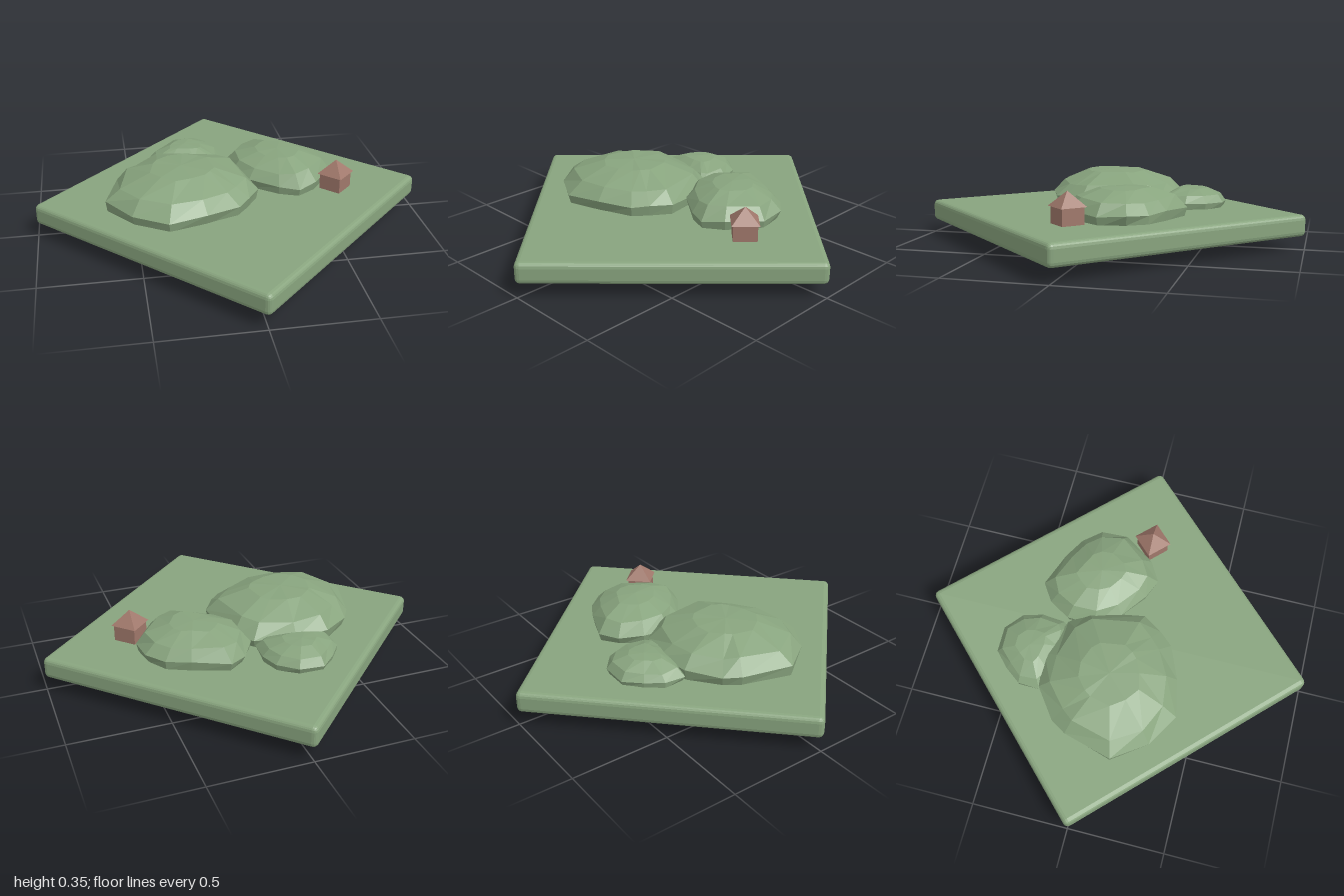
import * as THREE from 'three';
import { RoundedBoxGeometry } from 'three/addons/geometries/RoundedBoxGeometry.js';

// Rings of every hill: [height from -1 to 1, scale of the outline]
const RINGS = [[-0.9, 0.4], [-0.6, 0.78], [-0.05, 0.95], [0.27, 1], [0.65, 0.82], [0.95, 0.42]];

// Each hill: centre, half height and its widest outline as [x, z]
const HILLS = [
  { name: 'largeHill', centre: [-0.26, 0.187, 0.03], h: 0.177, outline: [
    [-0.65, 0.13], [-0.58, -0.12], [-0.53, -0.2], [-0.38, -0.31], [-0.2, -0.33], [0, -0.26], [0.08, -0.17],
    [0.125, 0.12], [0.06, 0.22], [0, 0.29], [-0.17, 0.36], [-0.36, 0.4], [-0.53, 0.3]] },
  { name: 'mediumHill', centre: [0.28, 0.19, -0.15], h: 0.15, outline: [
    [0.02, -0.12], [0.02, -0.27], [0.09, -0.38], [0.18, -0.44], [0.36, -0.37], [0.47, -0.31], [0.545, -0.22],
    [0.555, -0.08], [0.44, 0.08], [0.34, 0.14], [0.24, 0.1], [0.1, 0]] },
  { name: 'smallHill', centre: [-0.19, 0.185, -0.41], h: 0.102, outline: [
    [-0.385, -0.31], [-0.38, -0.42], [-0.32, -0.5], [-0.24, -0.575], [-0.11, -0.575], [-0.02, -0.5],
    [0.01, -0.4], [0, -0.28], [-0.03, -0.25], [-0.14, -0.24], [-0.3, -0.27]] },
];

function seeded(seed) {
  return () => {
    seed = (seed * 16807) % 2147483647;
    return seed / 2147483647 - 0.5;
  };
}

// Faceted mound: scaled copies of the outline, closed by a point at each end
function hillGeometry({ centre: [cx, cy, cz], h, outline }, seed) {
  const rand = seeded(seed);
  const n = outline.length;
  const pos = [], index = [];
  for (const [t, s] of RINGS) {
    for (const [x, z] of outline) {
      const k = s === 1 ? 1 : s * (1 + rand() * 0.07);
      const y = t + rand() * (t > 0.9 ? 0.04 : 0.12);
      pos.push(cx + (x - cx) * k, cy + y * h, cz + (z - cz) * k);
    }
  }
  const bottom = RINGS.length * n, top = bottom + 1;
  pos.push(cx, cy - h, cz, cx, cy + h, cz);
  const last = (RINGS.length - 1) * n;
  for (let i = 0; i < n; i++) {
    const j = (i + 1) % n;
    for (let r = 0; r < last; r += n) {
      index.push(r + j, r + i, r + n + i, r + j, r + n + i, r + n + j);
    }
    index.push(i, j, bottom, last + j, last + i, top);
  }
  const geo = new THREE.BufferGeometry();
  geo.setAttribute('position', new THREE.Float32BufferAttribute(pos, 3));
  geo.setIndex(index);
  const flat = geo.toNonIndexed();
  flat.computeVertexNormals();
  return flat;
}

export function createModel() {
  const model = new THREE.Group();
  model.name = 'hillyTile';
  const grass = new THREE.MeshStandardMaterial({ color: 0x88a47e });
  grass.name = 'grass green';
  grass.flatShading = true;
  const clay = new THREE.MeshStandardMaterial({ color: 0xa0786b });
  clay.name = 'clay brown';
  clay.flatShading = true;

  const add = (parent, name, geometry, material, x = 0, y = 0, z = 0) => {
    const mesh = new THREE.Mesh(geometry, material);
    mesh.name = name;
    mesh.position.set(x, y, z);
    parent.add(mesh);
    return mesh;
  };

  // Ground slab, standing on one corner of its square
  const slab = add(model, 'groundSlab', new RoundedBoxGeometry(1.43, 0.11, 1.43, 2, 0.026), grass, 0, 0.133, 0);
  slab.rotation.y = Math.PI / 4;

  // Hills, poking through the underside of the slab
  HILLS.forEach((hill, i) => add(model, hill.name, hillGeometry(hill, 311 + i * 97), grass));

  // Small hut with a pyramid roof
  const hut = new THREE.Group();
  hut.name = 'hut';
  hut.position.set(0.548, 0, 0.06);
  add(hut, 'hutWalls', new THREE.CylinderGeometry(0.083, 0.083, 0.1, 4), clay, 0, 0.222, 0);
  add(hut, 'hutRoof', new THREE.ConeGeometry(0.096, 0.073, 4), clay, 0, 0.308, 0);
  model.add(hut);

  return model;
}
